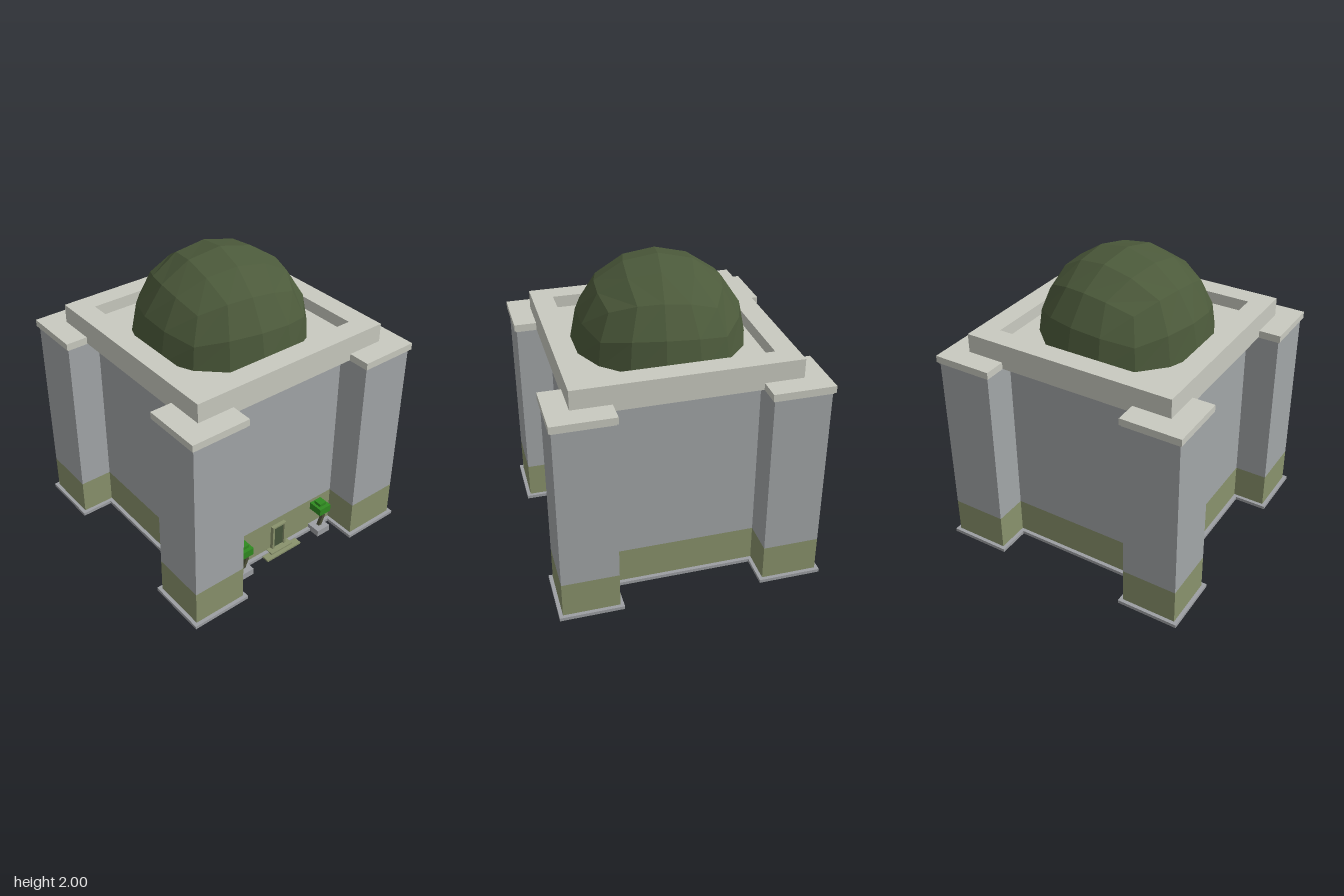
import * as THREE from 'three';

const mat = (name, color, side = THREE.FrontSide) => {
  const m = new THREE.MeshStandardMaterial({ color, side });
  m.name = name;
  return m;
};

export function createModel() {
  const wall = mat('grey wall', 0xa2a6a8, THREE.DoubleSide);
  const moss = mat('moss green wall', 0x89926c, THREE.DoubleSide);
  const stone = mat('pale stone', 0xc9cac0);
  const plinth = mat('plinth grey', 0x9d9fa3);
  const domeGreen = mat('dome green', 0x4c5a3b);
  const doorGreen = mat('door green', 0x46553c);
  const bark = mat('bark', 0x4c4f39);
  const leaf = mat('leaf green', 0x2f8a20);

  const model = new THREE.Group();
  model.name = 'domedBuilding';

  const add = (parent, name, geometry, material) => {
    const mesh = new THREE.Mesh(geometry, material);
    mesh.name = name;
    parent.add(mesh);
    return mesh;
  };

  // Keep only the chosen faces of a box (0 +x, 1 -x, 2 +y, 3 -y, 4 +z, 5 -z)
  const keepFaces = (geo, faces) => {
    const index = Array.from(geo.index.array);
    const kept = geo.groups.filter(g => faces.includes(g.materialIndex))
      .flatMap(g => index.slice(g.start, g.start + g.count));
    geo.setIndex(kept);
    geo.clearGroups();
    return geo;
  };

  // Box given by its limits
  const box = (parent, name, x0, x1, y0, y1, z0, z1, material) =>
    add(parent, name, new THREE.BoxGeometry(x1 - x0, y1 - y0, z1 - z0)
      .translate((x0 + x1) / 2, (y0 + y1) / 2, (z0 + z1) / 2), material);

  // Four open walls around a square
  const walls = (parent, name, half, y0, y1, material) =>
    add(parent, name, keepFaces(new THREE.BoxGeometry(2 * half, y1 - y0, 2 * half), [0, 1, 4, 5])
      .translate(0, (y0 + y1) / 2, 0), material);

  // Square frame with a square hole
  const square = (Type, h) => new Type([[-h, -h], [h, -h], [h, h], [-h, h]]
    .map(([x, y]) => new THREE.Vector2(x, y)));
  const frame = (parent, name, outer, inner, y0, y1, material) => {
    const shape = square(THREE.Shape, outer);
    shape.holes.push(square(THREE.Path, inner));
    return add(parent, name,
      new THREE.ExtrudeGeometry(shape, { depth: y1 - y0, bevelEnabled: false })
        .rotateX(-Math.PI / 2).translate(0, y0, 0), material);
  };

  const MOSS = 0.26, TOP = 1.36;

  // Main hall
  const hall = new THREE.Group();
  hall.name = 'hall';
  model.add(hall);
  walls(hall, 'hallLowerWalls', 0.62, 0, MOSS, moss);
  walls(hall, 'hallUpperWalls', 0.62, MOSS, TOP, wall);
  frame(hall, 'hallPlinth', 0.645, 0.615, 0, 0.022, plinth);

  // Roof slab with a sunken middle
  frame(model, 'roofRim', 0.71, 0.57, TOP, 1.53, stone);
  box(model, 'roofFloor', -0.57, 0.57, TOP, 1.45, -0.57, 0.57, stone);

  // Corner towers
  for (const sx of [-1, 1]) for (const sz of [-1, 1]) {
    const tower = new THREE.Group();
    tower.name = 'cornerTower';
    tower.position.set(sx * 0.657, 0, sz * 0.657);
    model.add(tower);
    walls(tower, 'towerLowerWalls', 0.183, 0, MOSS, moss);
    walls(tower, 'towerUpperWalls', 0.183, MOSS, TOP, wall);
    frame(tower, 'towerPlinth', 0.207, 0.178, 0, 0.022, plinth);
    box(tower, 'towerCapLip', -0.189, 0.189, 1.35, TOP, -0.189, 0.189, stone);
    box(tower, 'towerCap', -0.198, 0.198, TOP, 1.405, -0.198, 0.198, stone);
  }

  // Faceted dome: half a box rounded into a sphere by equal angles
  const R = 0.56;
  let dome = keepFaces(new THREE.BoxGeometry(2, 1, 2, 4, 2, 4).translate(0, 0.5, 0), [0, 1, 2, 4, 5]);
  const pos = dome.attributes.position;
  const v = new THREE.Vector3();
  const even = t => Math.tan(t * Math.PI / 4);
  for (let i = 0; i < pos.count; i++) {
    v.fromBufferAttribute(pos, i);
    v.set(even(v.x), even(v.y), even(v.z));
    if (v.lengthSq() > 0) v.setLength(R);
    pos.setXYZ(i, v.x, v.y, v.z);
  }
  dome = dome.toNonIndexed();
  dome.computeVertexNormals();
  const domeMesh = add(model, 'dome', dome, domeGreen);
  domeMesh.position.y = 1.44;
  domeMesh.rotation.y = THREE.MathUtils.degToRad(-9.5);

  // Entrance
  const entrance = new THREE.Group();
  entrance.name = 'entrance';
  model.add(entrance);
  box(entrance, 'lowerStep', -0.145, 0.145, 0.003, 0.016, 0.61, 0.7, moss);
  box(entrance, 'upperStep', -0.09, 0.09, 0.016, 0.027, 0.61, 0.675, moss);
  for (const s of [-1, 1])
    box(entrance, 'doorJamb', s * 0.049 - 0.008, s * 0.049 + 0.008, 0.02, 0.212, 0.61, 0.645, moss);
  box(entrance, 'doorLintel', -0.041, 0.041, 0.2, 0.212, 0.61, 0.645, moss);
  box(entrance, 'door', -0.041, 0.041, 0.02, 0.2, 0.615, 0.632, doorGreen);

  // Potted trees, both bent the same way
  const trunkPath = [[0, 0.045], [0.032, 0.12], [0.002, 0.195]];
  for (const x of [-0.34, 0.338]) {
    const tree = new THREE.Group();
    tree.name = 'pottedTree';
    tree.position.set(x, 0, 0.672);
    model.add(tree);
    box(tree, 'pot', -0.053, 0.053, 0.003, 0.05, -0.05, 0.05, plinth);
    for (let i = 0; i < 2; i++) {
      const [ax, ay] = trunkPath[i], [bx, by] = trunkPath[i + 1];
      const part = add(tree, 'trunk',
        new THREE.BoxGeometry(0.023, Math.hypot(bx - ax, by - ay) + 0.006, 0.023), bark);
      part.position.set((ax + bx) / 2, (ay + by) / 2, 0);
      part.rotation.z = -Math.atan2(bx - ax, by - ay);
    }
    box(tree, 'crown', -0.047, 0.047, 0.185, 0.238, -0.05, 0.052, leaf);
    box(tree, 'crownTop', -0.027, 0.027, 0.238, 0.26, -0.028, 0.028, leaf);
  }

  return model;
}
